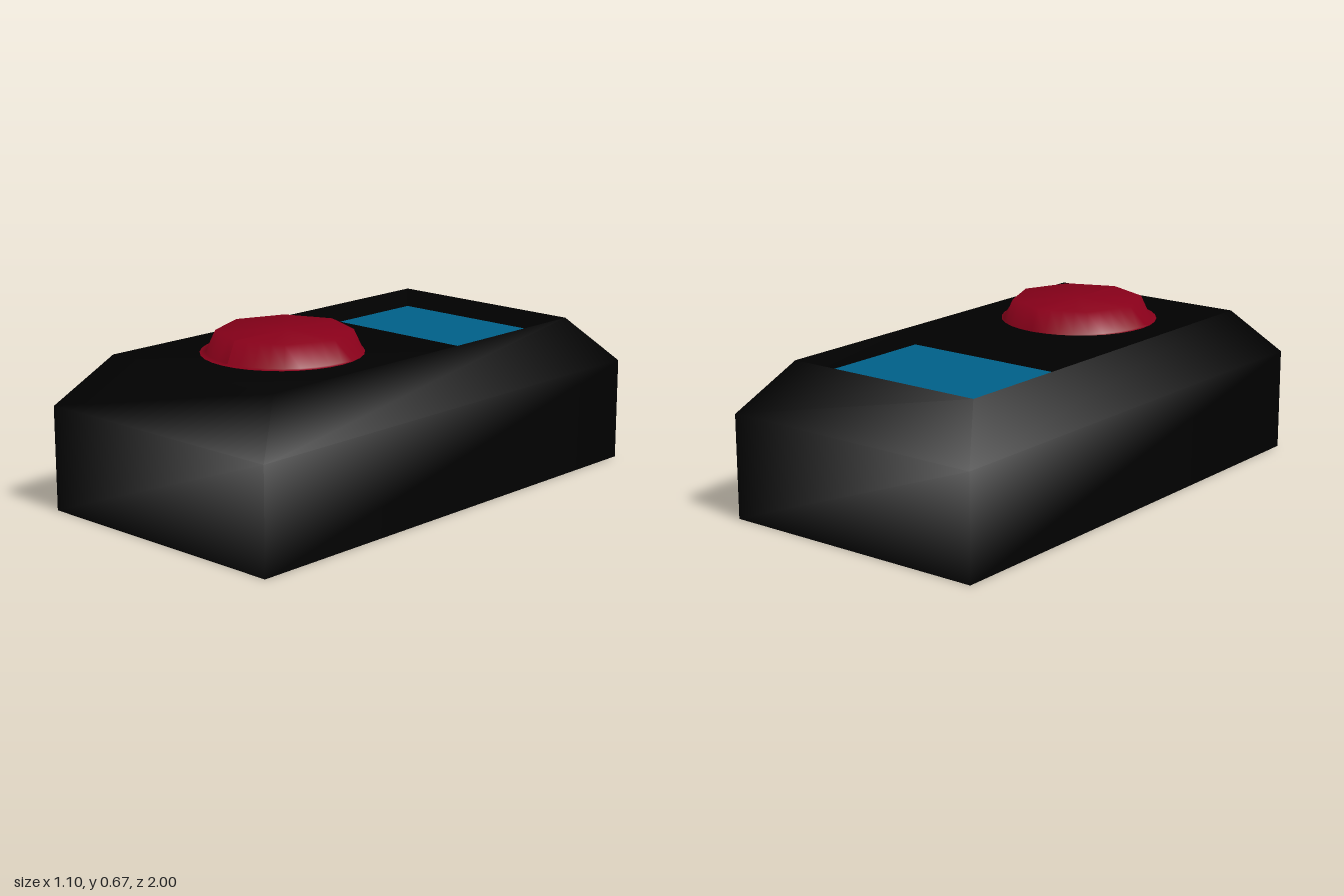
import * as THREE from 'three';
import { mergeVertices } from 'three/addons/utils/BufferGeometryUtils.js';

const black = new THREE.MeshStandardMaterial({ name: 'black casing', color: 0x000000, side: THREE.DoubleSide });
const red = new THREE.MeshStandardMaterial({ name: 'dark red', color: 0x870019, side: THREE.DoubleSide });
const blue = new THREE.MeshStandardMaterial({ name: 'screen blue', color: 0x005f88 });

const TOP = 0.588, HALF_WIDTH = 0.418, BACK = -0.815, FRONT = 0.82;
const SCREEN_FRONT = -0.15, SCREEN_FLOOR = 0.508;

// Four corners of a level rectangle, anticlockwise from above
const rectangle = (w, y, back, front) => [[-w, y, front], [w, y, front], [w, y, back], [-w, y, back]];

const quad = (points, a, b, c, d) => points.push(...a, ...b, ...c, ...a, ...c, ...d);

// Band of four faces joining two rectangles
function band(points, lower, upper) {
  for (let i = 0; i < 4; i++) {
    const j = (i + 1) % 4;
    quad(points, lower[i], lower[j], upper[j], upper[i]);
  }
}

function toGeometry(points) {
  const geometry = new THREE.BufferGeometry();
  geometry.setAttribute('position', new THREE.Float32BufferAttribute(points, 3));
  return geometry;
}

// Hollow casing, open underneath, with softly shaded edges
function casingGeometry() {
  const points = [];
  const foot = rectangle(0.55, 0, -1, 1);
  const shoulder = rectangle(0.55, 0.403, -1, 1);
  band(points, foot, shoulder);
  band(points, shoulder, rectangle(HALF_WIDTH, TOP, BACK, FRONT));
  quad(points, ...rectangle(HALF_WIDTH, TOP, SCREEN_FRONT, FRONT));
  const geometry = mergeVertices(toGeometry(points));
  geometry.computeVertexNormals();
  return geometry;
}

// Sunken tray that holds the screen
function trayGeometry() {
  const points = [];
  const floor = rectangle(HALF_WIDTH, SCREEN_FLOOR, BACK, SCREEN_FRONT);
  const rim = rectangle(HALF_WIDTH, TOP, BACK, SCREEN_FRONT);
  band(points, rim, floor);
  quad(points, ...floor);
  const geometry = toGeometry(points);
  geometry.computeVertexNormals();
  return geometry;
}

// Button: round foot tapering to an eight-sided flat top
function buttonGeometry() {
  const profile = [[0, 0.585], [0.307, 0.585], [0.306, 0.5895], [0.292, 0.5905], [0.256, 0.669], [0, 0.67]];
  const geometry = new THREE.LatheGeometry(profile.map(([r, y]) => new THREE.Vector2(r, y)), 32);
  const position = geometry.attributes.position;
  const step = Math.PI / 4;
  for (let i = 0; i < position.count; i++) {
    const x = position.getX(i), y = position.getY(i), z = position.getZ(i);
    if (y > 0.66) {
      const angle = Math.atan2(z, x) + Math.PI * 2;
      const scale = Math.cos(step / 2) / Math.cos((angle % step) - step / 2);
      position.setXYZ(i, x * scale, y, z * scale);
    } else if (y < 0.59) {
      // the foot sits slightly further forward
      position.setZ(i, z + 0.012);
    }
  }
  geometry.computeVertexNormals();
  return geometry;
}

export function createModel() {
  const model = new THREE.Group();
  model.name = 'handheldPlayer';
  const add = (name, geometry, material, y = 0, z = 0) => {
    const mesh = new THREE.Mesh(geometry, material);
    mesh.name = name;
    mesh.position.set(0, y, z);
    model.add(mesh);
  };

  add('casing', casingGeometry(), black);
  add('screenTray', trayGeometry(), black);
  add('controlButton', buttonGeometry(), red, 0, 0.346);
  // Thin plate lying on the tray floor
  const screen = new THREE.BoxGeometry(HALF_WIDTH * 2 - 0.004, 0.004, SCREEN_FRONT - BACK - 0.004);
  add('screen', screen, blue, SCREEN_FLOOR + 0.003, (SCREEN_FRONT + BACK) / 2);
  return model;
}
